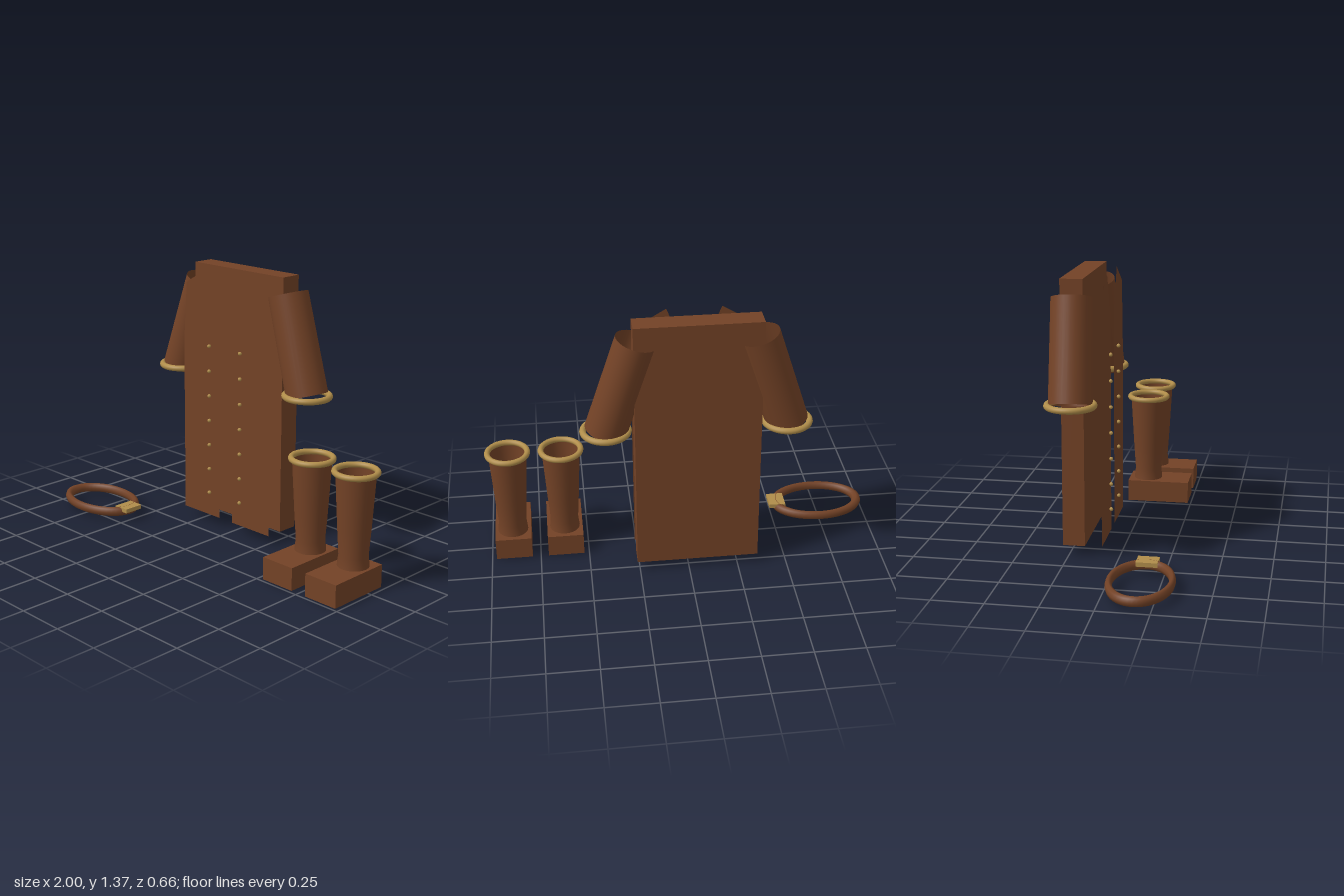
import * as THREE from 'three';

export function createModel() {
  const model = new THREE.Group();
  model.name = 'outfit';
  const leather = new THREE.MeshStandardMaterial({ color: 0x734226, side: THREE.DoubleSide });
  leather.name = 'brown leather';
  const brass = new THREE.MeshStandardMaterial({ color: 0xb08d4a });
  brass.name = 'brass trim';

  const add = (parent, name, geometry, material, x = 0, y = 0, z = 0) => {
    const mesh = new THREE.Mesh(geometry, material);
    mesh.name = name;
    mesh.position.set(x, y, z);
    parent.add(mesh);
    return mesh;
  };
  const group = (name, x, y, z) => {
    const g = new THREE.Group();
    g.name = name;
    g.position.set(x, y, z);
    model.add(g);
    return g;
  };
  // Horizontal ring
  const ring = (radius, tube, sides = 12) =>
    new THREE.TorusGeometry(radius, tube, sides, 48).rotateX(Math.PI / 2);

  // Coat, built around its own centre line
  const coat = group('coat', -0.045, 0, 0);
  add(coat, 'coatBody', new THREE.BoxGeometry(0.615, 1.32, 0.11), leather, 0, 0.71, -0.225);

  for (const side of [-1, 1]) {
    const label = side > 0 ? 'left' : 'right';

    // Flat front panel with a cut-away collar
    const outline = [[0.045, 0.05], [0.307, 0.05], [0.307, 0.97], [0.285, 1.28], [0.133, 1.37], [0.045, 1.155]];
    const shape = new THREE.Shape(outline.map(([x, y]) => new THREE.Vector2(side * x, y)));
    add(coat, label + 'FrontPanel', new THREE.ShapeGeometry(shape), leather, 0, 0, -0.085);

    // Buttons
    for (let i = 0; i < 7; i++) {
      add(coat, label + 'Button', new THREE.SphereGeometry(0.01, 8, 6), brass,
        side * 0.11, 0.18 + i * 0.1322, -0.073);
    }

    // Open sleeve, slanted outwards and slightly forwards
    const top = new THREE.Vector3(side * 0.29, 1.28, -0.225);
    const cuff = new THREE.Vector3(side * 0.443, 0.797, -0.205);
    const axis = top.clone().sub(cuff);
    const sleeve = add(coat, label + 'Sleeve',
      new THREE.CylinderGeometry(0.1, 0.105, axis.length(), 32, 1, true), leather);
    sleeve.position.copy(top).add(cuff).multiplyScalar(0.5);
    sleeve.quaternion.setFromUnitVectors(new THREE.Vector3(0, 1, 0), axis.normalize());
    add(coat, label + 'CuffTrim', ring(0.111, 0.016), brass, cuff.x, cuff.y, cuff.z);
  }

  // Boots
  const shaftProfile = [[0.077, 0.115], [0.071, 0.17], [0.08, 0.3], [0.096, 0.578]]
    .map(([r, y]) => new THREE.Vector2(r, y));
  [0.618, 0.885].forEach((x, i) => {
    const boot = group(i ? 'leftBoot' : 'rightBoot', x, 0, 0);
    add(boot, 'foot', new THREE.BoxGeometry(0.184, 0.115, 0.333), leather, 0, 0.0575, 0.0665);
    add(boot, 'shaft', new THREE.LatheGeometry(shaftProfile, 32), leather);
    add(boot, 'shaftTrim', ring(0.1005, 0.0145), brass, 0, 0.578, 0);
  });

  // Oval belt lying on its side, with buckle
  const belt = group('belt', -0.752, 0.046, 0.169);
  add(belt, 'strap', ring(0.2225, 0.0255, 8).scale(1, 1, 0.65), leather);
  add(belt, 'buckle', new THREE.BoxGeometry(0.087, 0.022, 0.105), brass, 0.221, 0.014, 0);

  return model;
}
